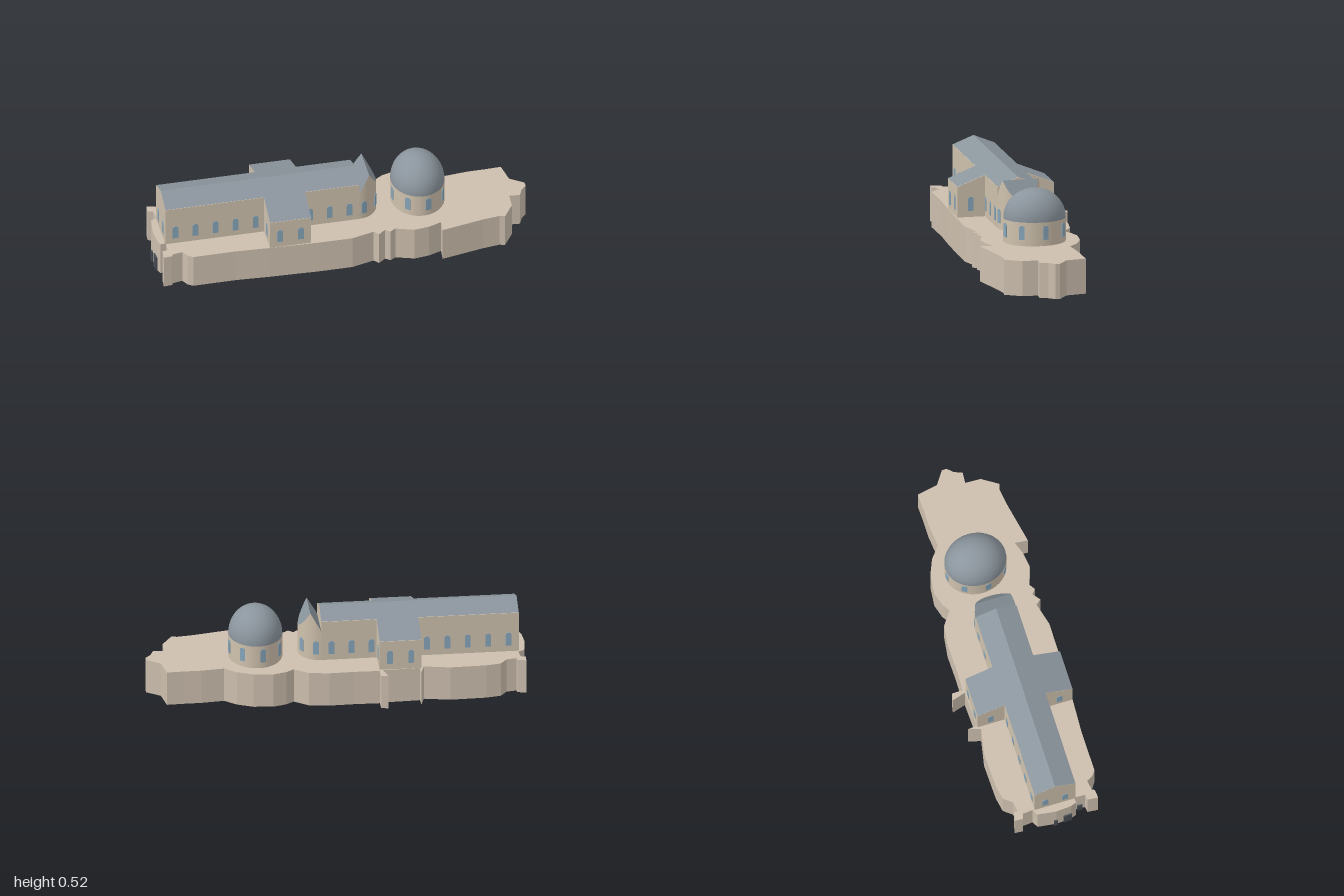
import * as THREE from 'three';
import { toCreasedNormals } from 'three/addons/utils/BufferGeometryUtils.js';

const mat = (color, side = THREE.FrontSide) => new THREE.MeshStandardMaterial({ color, side });
const stone = mat(0xcdbfae), wall = mat(0xcfc1ad, THREE.DoubleSide), roof = mat(0x8b959d, THREE.DoubleSide);
const glass = mat(0x86a5ba), dark = mat(0x484e55);

const BASE = 0.21, RIDGE = 0.507, SLOPE = 0.4;
const NAVE = 0.125, TRANSEPT = 0.29, CHORD = -0.16;

// Podium outline as x, z pairs
const outline = [
  0.44, -1, 0.555, -0.95, 0.645, -0.985, 0.67, -0.97, 0.68, -0.925, 0.71, -0.88, 0.67, -0.83, 0.745, -0.775,
  0.79, -0.67, 0.765, -0.65, 0.72, -0.56, 0.62, -0.32, 0.56, -0.37, 0.54, -0.29, 0.5, -0.21, 0.41, -0.14,
  0.41, -0.1, 0.375, -0.09, 0.38, -0.035, 0.34, -0.03, 0.295, 0.1, 0.18, 0.27, 0.01, 0.505, -0.11, 0.665,
  -0.25, 0.875, -0.285, 0.89, -0.33, 0.885, -0.355, 0.94, -0.345, 0.955, -0.37, 1, -0.42, 0.96, -0.405, 0.93,
  -0.46, 0.89, -0.475, 0.92, -0.51, 0.91, -0.59, 0.865, -0.675, 0.79, -0.67, 0.75, -0.725, 0.72, -0.75, 0.74,
  -0.79, 0.71, -0.75, 0.675, -0.73, 0.685, -0.705, 0.63, -0.725, 0.57, -0.69, 0.49, -0.575, 0.31, -0.465, 0.2,
  -0.515, 0.14, -0.465, 0.17, -0.35, -0.015, -0.43, -0.04, -0.4, -0.07, -0.345, -0.035, -0.26, -0.155,
  -0.18, -0.28, -0.1, -0.37, -0.005, -0.405, -0.005, -0.46, 0.02, -0.54, 0.095, -0.63, 0.18, -0.685,
  0.265, -0.71, 0.33, -0.83, 0.39, -0.92,
];

function add(parent, name, geometry, material) {
  const mesh = new THREE.Mesh(geometry, material);
  mesh.name = name;
  parent.add(mesh);
  return mesh;
}

// Triangle soup from quads of [x, y, z] corners
function quads(list) {
  const pos = [];
  for (const [a, b, c, d] of list) pos.push(...a, ...b, ...c, ...a, ...c, ...d);
  const g = new THREE.BufferGeometry();
  g.setAttribute('position', new THREE.Float32BufferAttribute(pos, 3));
  g.computeVertexNormals();
  return g;
}

// Gabled section running along z, all sections share one roof slope
function gabledSection(parent, name, half, z0, z1) {
  const eave = RIDGE - SLOPE * half;
  const s = new THREE.Shape([[-half, BASE], [half, BASE], [half, eave], [0, RIDGE], [-half, eave]]
    .map(([x, y]) => new THREE.Vector2(x, y)));
  const g = new THREE.ExtrudeGeometry(s, { depth: z1 - z0, bevelEnabled: false });
  add(parent, name + 'Walls', g.translate(0, 0, z0), wall);
  const e = 0.002;
  add(parent, name + 'Roof', quads([1, -1].map((k) => {
    const a = [0, RIDGE + e, z0], b = [0, RIDGE + e, z1];
    const c = [k * half, eave + e, z1], d = [k * half, eave + e, z0];
    return k > 0 ? [a, b, c, d] : [a, d, c, b];
  })), roof);
}

// Round-headed window
const windowShape = new THREE.Shape();
windowShape.moveTo(-0.017, 0).lineTo(0.017, 0).lineTo(0.017, 0.067);
windowShape.absarc(0, 0.067, 0.017, 0, Math.PI, false);
const windowGeo = new THREE.ExtrudeGeometry(windowShape, { depth: 0.008, bevelEnabled: false, curveSegments: 8 });
windowGeo.translate(0, 0, -0.005);

function addWindow(parent, x, z, turn) {
  const w = add(parent, 'window', windowGeo, glass);
  w.position.set(x, 0.247, z);
  w.rotation.y = turn;
}

// Half-round apse under a steep gable that crosses the axis
function addApse(parent) {
  const n = 24, low = 0.395;
  const pts = Array.from({ length: n + 1 }, (_, i) => {
    const a = (i / n) * Math.PI, t = Math.sin(a);
    return [NAVE * Math.cos(a), low + (RIDGE - low) * (1 - Math.abs(t - 0.5) * 2), CHORD - NAVE * t];
  });
  const foot = (p) => [p[0], BASE, p[2]];
  const sides = [], tops = [];
  for (let i = 0; i < n; i++) sides.push([foot(pts[i]), foot(pts[i + 1]), pts[i + 1], pts[i]]);
  for (let i = 0; i < n / 2; i++) tops.push([pts[i], pts[i + 1], pts[n - i - 1], pts[n - i]]);
  add(parent, 'apseWalls', toCreasedNormals(quads(sides), 0.5), wall);
  add(parent, 'apseRoof', quads(tops), roof);
  for (const deg of [14, 61, 119, 166]) {
    const a = THREE.MathUtils.degToRad(deg);
    addWindow(parent, NAVE * Math.cos(a), CHORD - NAVE * Math.sin(a), Math.PI / 2 + a);
  }
}

// Oval drum with a dome
function addRotunda(parent) {
  const rx = 0.184, rz = 0.158, spring = 0.351, top = 0.525;
  const g = new THREE.Group();
  g.name = 'rotunda';
  g.position.set(-0.01, 0, -0.536);
  parent.add(g);
  const drum = new THREE.CylinderGeometry(1, 1, spring - BASE, 40, 1, true);
  add(g, 'drum', drum.scale(rx, 1, rz).translate(0, (spring + BASE) / 2, 0), wall);
  const dome = new THREE.SphereGeometry(1, 40, 14, 0, Math.PI * 2, 0, Math.PI / 2);
  add(g, 'dome', dome.scale(rx, top - spring, rz).translate(0, spring, 0), roof);
  for (let i = 0; i < 8; i++) {
    const a = THREE.MathUtils.degToRad(-10 + 45 * i);
    const c = Math.cos(a), s = Math.sin(a);
    addWindow(g, rx * c, rz * s, Math.atan2(c / rx, s / rz));
  }
}

export function createModel() {
  const model = new THREE.Group();
  model.name = 'church';

  // Podium
  const pts = [];
  for (let i = 0; i < outline.length; i += 2) pts.push(new THREE.Vector2(outline[i], -outline[i + 1]));
  const podium = new THREE.ExtrudeGeometry(new THREE.Shape(pts), { depth: BASE, bevelEnabled: false });
  add(model, 'podium', podium.rotateX(-Math.PI / 2), stone);

  // Everything on the podium follows its diagonal axis
  const building = new THREE.Group();
  building.name = 'building';
  building.rotation.y = -0.593;
  model.add(building);

  gabledSection(building, 'frontNave', NAVE, 0.41, 1.0);
  gabledSection(building, 'transept', TRANSEPT, 0.165, 0.41);
  gabledSection(building, 'rearNave', NAVE, CHORD, 0.165);
  addApse(building);
  addRotunda(building);

  // Windows mirrored across the axis
  for (const k of [1, -1]) {
    const out = k * Math.PI / 2;
    for (let i = 0; i < 5; i++) addWindow(building, k * NAVE, 0.94 - 0.12 * i, out);
    for (let i = 0; i < 3; i++) addWindow(building, k * NAVE, 0.135 - 0.118 * i, out);
    for (const z of [0.35, 0.225]) addWindow(building, k * TRANSEPT, z, out);
    addWindow(building, k * 0.21, 0.41, 0);
    addWindow(building, k * 0.21, 0.165, Math.PI);
    addWindow(building, k * 0.06, 1.0, 0);
  }

  // Doors in the podium front: x, z, width, height
  for (const [x, z, w, h] of [[-0.53, 0.9, 0.05, 0.09], [-0.433, 0.912, 0.03, 0.068], [-0.595, 0.863, 0.022, 0.068]]) {
    const door = add(model, 'door', new THREE.BoxGeometry(w, h, 0.016), dark);
    door.position.set(x, h / 2, z);
    door.rotation.y = -0.55;
  }
  return model;
}
